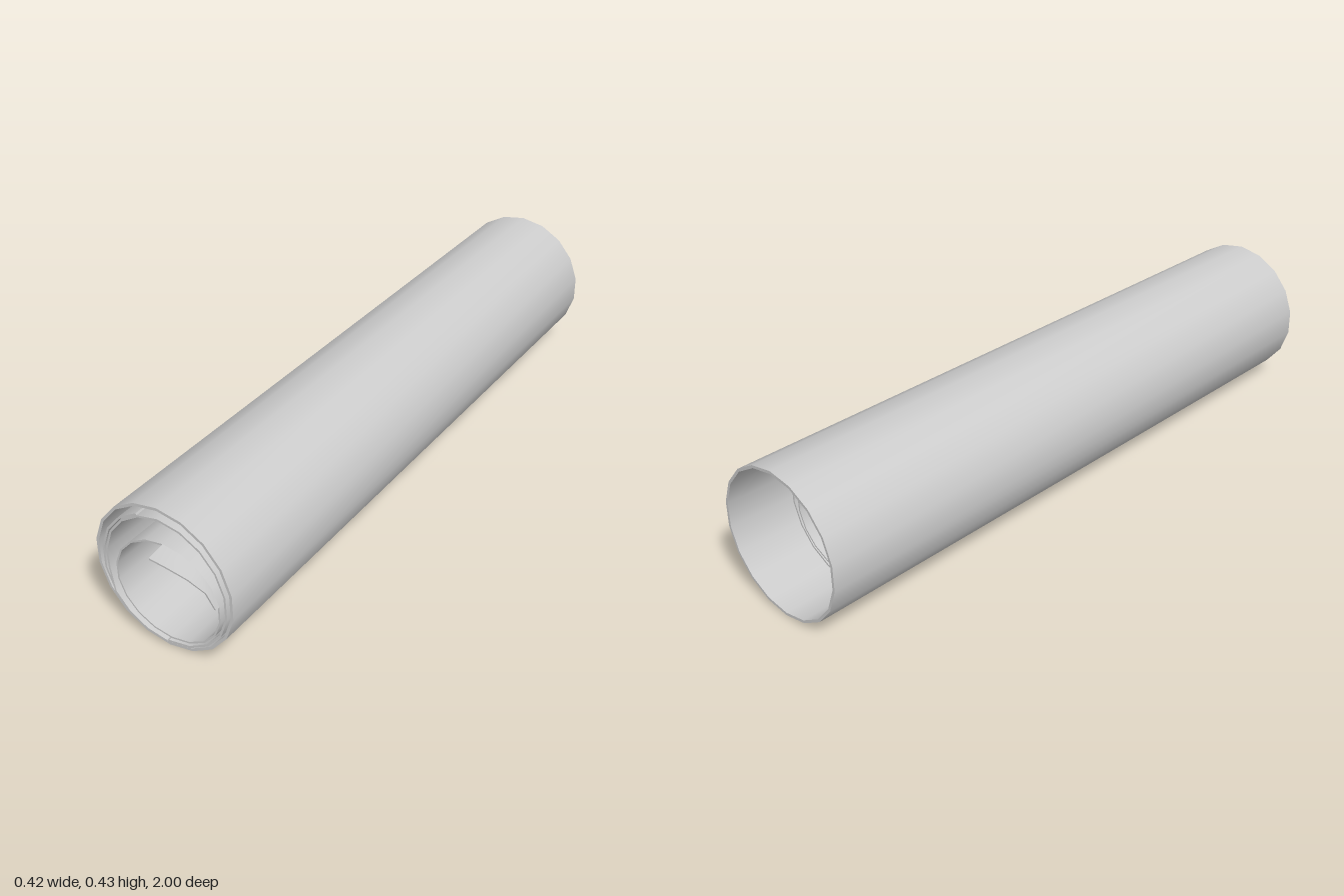
import * as THREE from 'three';
import { toCreasedNormals } from 'three/addons/utils/BufferGeometryUtils.js';

const STEP = 20; // degrees per facet: 18 sides per turn

// Interpolate a value from [angle, value] keys.
function keyed(keys, t) {
  for (let i = 1; i < keys.length; i++) {
    const [a, va] = keys[i - 1], [b, vb] = keys[i];
    if (t <= b) return THREE.MathUtils.mapLinear(t, a, b, va, vb);
  }
  return keys[keys.length - 1][1];
}

// Thick curved sheet running along z. The angle starts at the bottom and goes
// round by way of -x, the top and +x.
function sheet({ cx = 0, cy, rx, ry = rx, from, to, thick, back, front, closed = false, curl = () => 0 }) {
  const sections = [];
  for (let t = from; t <= to; t += STEP) {
    const a = THREE.MathUtils.degToRad(t % 360);
    const at = (off, z) => new THREE.Vector3(
      cx - Math.sin(a) * (rx(t) + off), cy - Math.cos(a) * (ry(t) + off), z);
    const h = thick / 2;
    sections.push({
      ob: at(h, back), ib: at(-h, back),
      of: at(h - curl(t), front(t)), if: at(-h - curl(t), front(t)),
    });
  }
  const pos = [];
  const quad = (a, b, c, d) => [a, b, c, a, c, d].forEach((p) => pos.push(p.x, p.y, p.z));
  for (let i = 0; i < sections.length - 1; i++) {
    const p = sections[i], q = sections[i + 1];
    quad(p.ob, p.of, q.of, q.ob); // outside
    quad(p.if, p.ib, q.ib, q.if); // inside
    quad(p.of, p.if, q.if, q.of); // front edge
    quad(p.ib, p.ob, q.ob, q.ib); // back edge
  }
  if (!closed) {
    const s = sections[0], e = sections[sections.length - 1];
    quad(s.ob, s.ib, s.if, s.of);
    quad(e.of, e.if, e.ib, e.ob);
  }
  const geo = new THREE.BufferGeometry();
  geo.setAttribute('position', new THREE.Float32BufferAttribute(pos, 3));
  return toCreasedNormals(geo, 0.6);
}

export function createModel() {
  const group = new THREE.Group();
  const material = new THREE.MeshStandardMaterial({ color: 0xcccccc, side: THREE.DoubleSide });
  const add = (name, options) => {
    const mesh = new THREE.Mesh(sheet(options), material);
    mesh.name = name;
    group.add(mesh);
  };

  // Outer tube, open at both ends
  add('outerTube', {
    cy: 0.214, rx: () => 0.2095, from: 0, to: 360, thick: 0.008,
    back: -1, front: () => 0.945, closed: true,
  });

  // Rolled sheet overlapping itself on the -x side; its inner end sticks out a little
  const rollRadius = [[0, 0.183], [80, 0.18], [140, 0.184], [180, 0.189], [280, 0.191], [520, 0.192]];
  add('rolledSheet', {
    cy: 0.203, rx: (t) => keyed(rollRadius, t), from: 0, to: 520, thick: 0.006,
    back: -0.81, front: (t) => (t <= 60 ? 0.955 : 0.945),
  });

  // Looser inner loop resting on the bottom of the roll
  const loop = { cx: 0.009, cy: 0.175, rx: () => 0.161, ry: () => 0.147, thick: 0.005 };
  add('innerLoop', { ...loop, from: 180, to: 540, back: -0.81, front: () => 0.945, closed: true });

  // Torn flap on the front edge of the loop, its corner curled inwards
  const flapFront = [[180, 0.996], [200, 1], [220, 0.985], [240, 0.966], [260, 0.958]];
  add('frontFlap', {
    ...loop, from: 180, to: 260, back: 0.945, front: (t) => keyed(flapFront, t),
    curl: (t) => (t === 180 ? 0.008 : 0),
  });

  return group;
}
